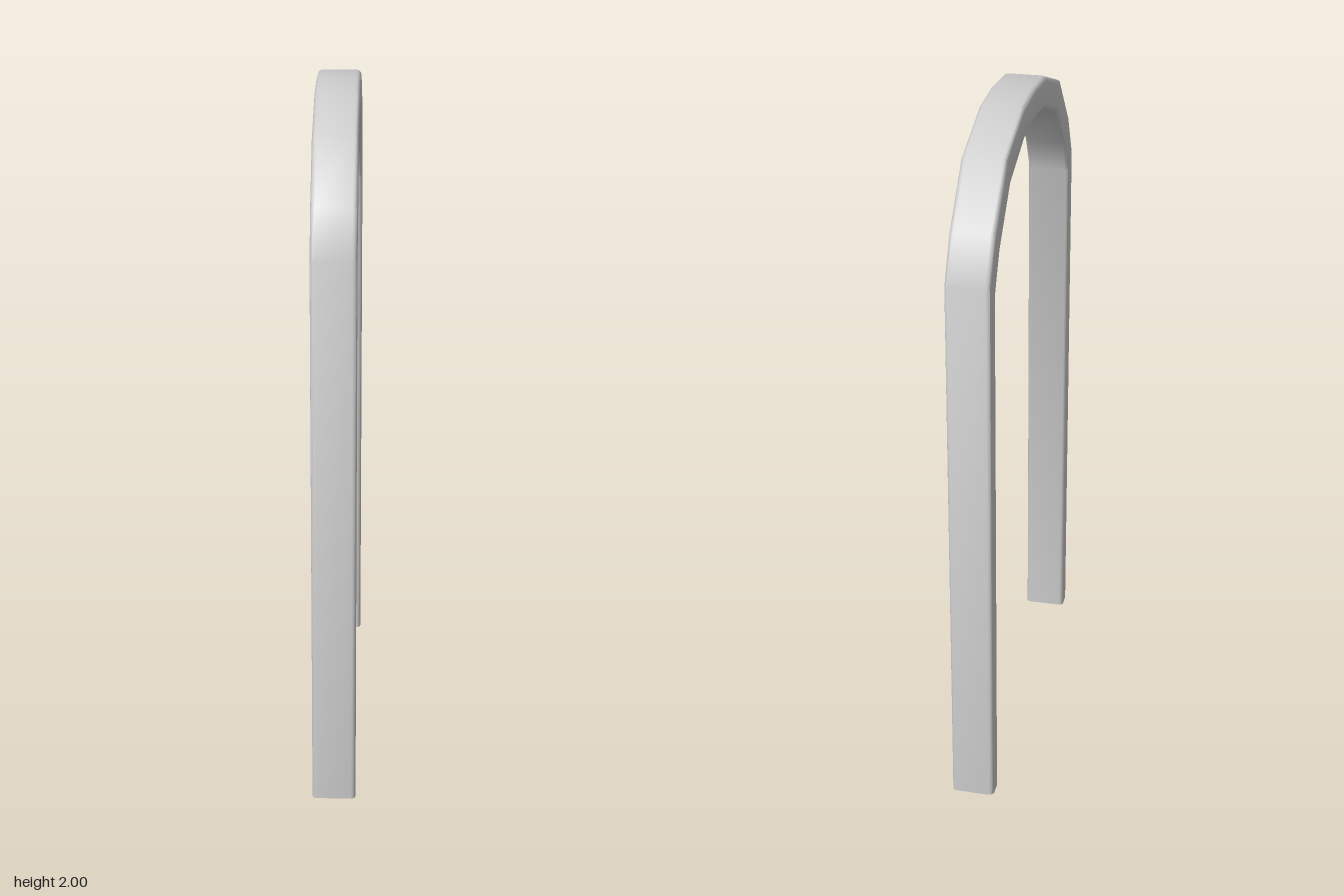
import * as THREE from 'three';
import { toCreasedNormals } from 'three/addons/utils/BufferGeometryUtils.js';

const HALF_WIDTH = 0.0625;
const EDGE_RADIUS = 0.013;

// Stations from the foot to the crown: [outer z, outer y, inner z, inner y]
const HALF_ARCH = [
  [0.565, 0, 0.5, 0],
  [0.565, 1.632, 0.5, 1.585],
  [0.503, 1.757, 0.447, 1.69],
  [0.36, 1.915, 0.317, 1.83],
  [0.148, 1.99, 0.14, 1.897],
  [0, 2, 0, 1.91],
];

// Rounded rectangle around the bar: x across, t from inner (0) to outer (1)
function barSection(thickness) {
  const points = [];
  const corners = [[1, 1], [-1, 1], [-1, -1], [1, -1]];
  corners.forEach(([sx, st], c) => {
    for (let k = 0; k <= 3; k++) {
      const a = (c + k / 3) * Math.PI / 2;
      const x = sx * (HALF_WIDTH - EDGE_RADIUS) + Math.cos(a) * EDGE_RADIUS;
      const d = st * (thickness / 2 - EDGE_RADIUS) + Math.sin(a) * EDGE_RADIUS;
      points.push([x, 0.5 + d / thickness]);
    }
  });
  return points;
}

function archGeometry() {
  // Mirror the half arch over the crown
  const mirrored = HALF_ARCH.slice(0, -1).reverse().map(([oz, oy, iz, iy]) => [-oz, oy, -iz, iy]);
  const stations = [...HALF_ARCH, ...mirrored];
  const positions = [];
  const index = [];
  let n = 0;
  for (const [oz, oy, iz, iy] of stations) {
    const section = barSection(Math.hypot(oz - iz, oy - iy));
    n = section.length;
    for (const [x, t] of section) positions.push(x, iy + (oy - iy) * t, iz + (oz - iz) * t);
  }
  // Skin between neighbouring sections
  for (let i = 0; i < stations.length - 1; i++) {
    for (let j = 0; j < n; j++) {
      const a = i * n + j;
      const b = i * n + (j + 1) % n;
      index.push(a, a + n, b, b, a + n, b + n);
    }
  }
  // Flat feet
  const last = (stations.length - 1) * n;
  for (let j = 1; j < n - 1; j++) {
    index.push(0, j, j + 1);
    index.push(last, last + j + 1, last + j);
  }
  const geometry = new THREE.BufferGeometry();
  geometry.setAttribute('position', new THREE.Float32BufferAttribute(positions, 3));
  geometry.setIndex(index);
  return toCreasedNormals(geometry, 0.56);
}

export function createModel() {
  const group = new THREE.Group();
  group.name = 'archedRack';
  const bar = new THREE.Mesh(archGeometry(), new THREE.MeshStandardMaterial({ color: 0xcccccc }));
  bar.name = 'archedBar';
  group.add(bar);
  return group;
}
